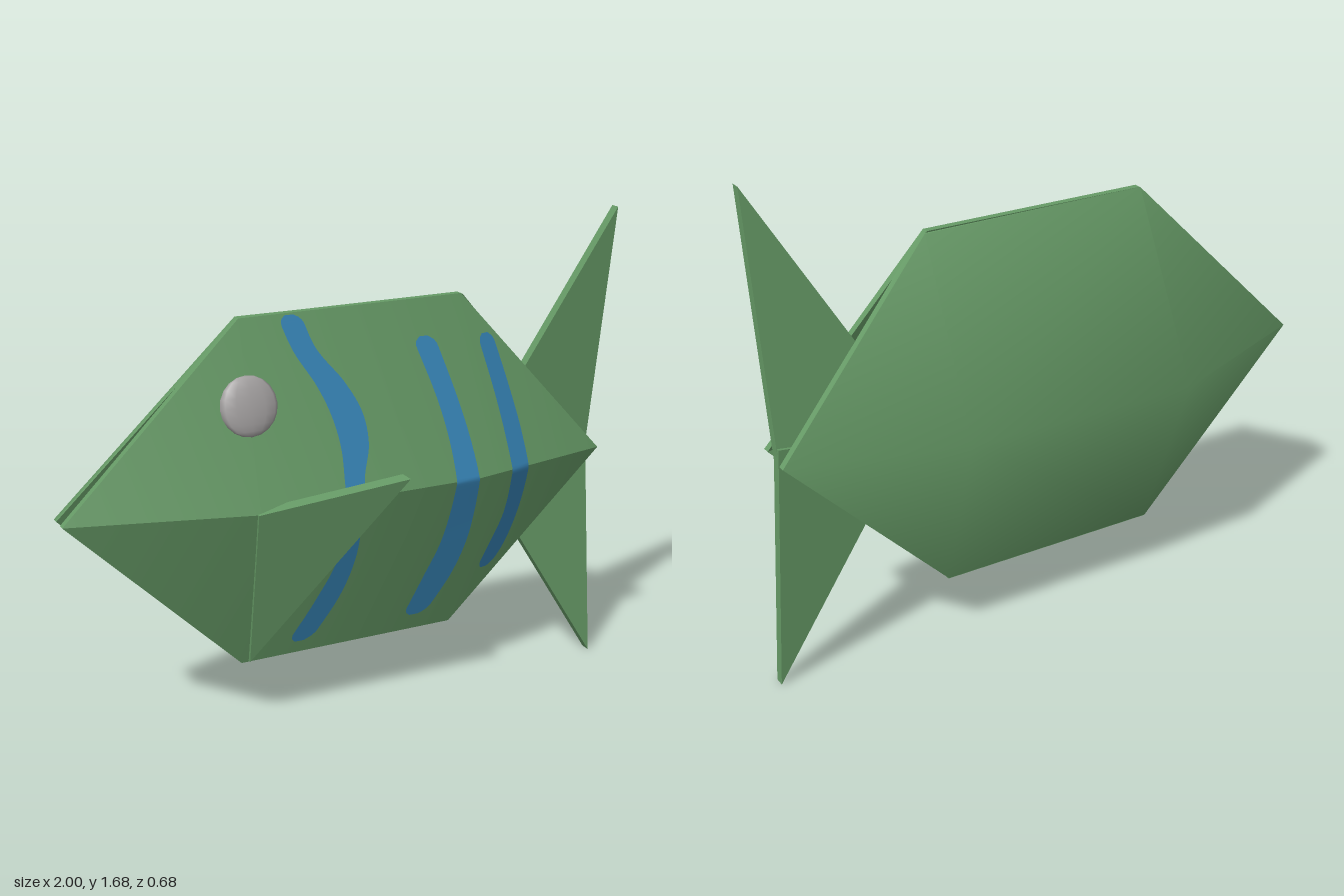
import * as THREE from 'three';
import { toCreasedNormals } from 'three/addons/utils/BufferGeometryUtils.js';

const paper = new THREE.MeshStandardMaterial({ color: 0x669a66, side: THREE.DoubleSide });
paper.name = 'greenPaper';
const blue = new THREE.MeshStandardMaterial({ color: 0x3785b8, side: THREE.DoubleSide });
blue.name = 'blueStripe';
const grey = new THREE.MeshStandardMaterial({ color: 0xa3a0a0 });
grey.name = 'greyEye';

// Folded sheet: corners are the outer side, the inner side lies t behind in z (t < 0: faces back)
function sheet(name, corners, faces, t, crease) {
  const n = corners.length;
  const outer = t < 0 ? faces.map(([a, b, c]) => [a, c, b]) : faces;
  const points = [...corners, ...corners.map(([x, y, z]) => [x, y, z - t])];
  const index = [];
  const edges = outer.flatMap(([a, b, c]) => [[a, b], [b, c], [c, a]]);
  outer.forEach(([a, b, c]) => index.push(a, b, c, a + n, c + n, b + n));
  // close the rim along the open edges
  for (const [a, b] of edges) {
    if (edges.some(([c, d]) => c === b && d === a)) continue;
    index.push(a, a + n, b, b, a + n, b + n);
  }
  const g = new THREE.BufferGeometry();
  g.setAttribute('position', new THREE.Float32BufferAttribute(points.flat(), 3));
  g.setIndex(index);
  const mesh = new THREE.Mesh(toCreasedNormals(g, crease), paper);
  mesh.name = name;
  return mesh;
}

// Corner order of a body half: nose, top x2, tail end, bottom x2, ridge x2
const hexFaces = [[0, 6, 1], [1, 6, 7], [1, 7, 2], [2, 7, 3], [0, 5, 6], [5, 4, 7], [5, 7, 6], [4, 3, 7]];
const front = [
  [-1, 0.83, -0.01], [-0.4, 1.435, 0], [0.4, 1.435, 0], [0.965, 0.82, 0.02],
  [0.4, 0.23, -0.04], [-0.4, 0.23, -0.04], [-0.4, 0.83, 0.155], [0.4, 0.83, 0.155],
];
const back = [
  [-1, 0.83, -0.1], [-0.4, 1.435, -0.03], [0.41, 1.43, -0.03], [0.975, 0.82, -0.14],
  [0.4, 0.235, -0.11], [-0.4, 0.235, -0.11], [-0.4, 0.83, -0.34], [0.42, 0.83, -0.32],
];

// Depth of the front half at (x, y)
function frontZ(x, y) {
  const k = THREE.MathUtils.clamp((x - 0.4) / 0.565, 0, 1);
  const mix = (a, b) => a.map((v, i) => v + (b[i] - v) * k);
  const ridge = mix(front[7], front[3]);
  const rim = mix(front[y > ridge[1] ? 2 : 4], front[3]);
  const t = THREE.MathUtils.clamp((y - ridge[1]) / (rim[1] - ridge[1]), 0, 1);
  return ridge[2] + (rim[2] - ridge[2]) * t;
}

// Painted stripe from rows of [left x, y, right x], top to bottom, with round ends
function stripe(rows) {
  const curve = new THREE.CatmullRomCurve3(rows.map((r) => new THREE.Vector3(...r)));
  const top = rows[0][1], bottom = rows[rows.length - 1][1];
  const points = [], index = [], count = 90;
  for (let i = 0; i <= count; i++) {
    const p = curve.getPoint(i / count);
    const d = Math.min(1, Math.max(0, Math.min(top - p.y, p.y - bottom)) / 0.035);
    const half = (p.z - p.x) / 2 * Math.sqrt(1 - (1 - d) * (1 - d) * 0.85);
    const mid = (p.x + p.z) / 2;
    for (const x of [mid - half, mid + half]) points.push(x, p.y, frontZ(x, p.y) + 0.006);
    const a = i * 2;
    if (i < count) index.push(a, a + 2, a + 1, a + 1, a + 2, a + 3);
  }
  const g = new THREE.BufferGeometry();
  g.setAttribute('position', new THREE.Float32BufferAttribute(points, 3));
  g.setIndex(index);
  g.computeVertexNormals();
  return new THREE.Mesh(g, blue);
}

export function createModel() {
  const fish = new THREE.Group();
  fish.name = 'foldedFish';

  // Two body halves and the fold joining them underneath
  fish.add(sheet('bodyFront', front, hexFaces, 0.025, 0.45));
  fish.add(sheet('bodyBack', back, hexFaces, -0.025, 1));
  const fold = new THREE.Mesh(new THREE.BoxGeometry(0.8, 0.012, 0.065), paper);
  fold.position.set(0, 0.238, -0.075);
  fold.name = 'bottomFold';
  fish.add(fold);

  // Side fin swinging out from the cheek
  fish.add(sheet('sideFin', [[-0.41, 0.832, 0.163], [-0.375, 0.235, -0.025], [0.04, 0.94, 0.335]],
    [[0, 1, 2]], 0.055, 0.5));

  // Tail fins between the halves
  fish.add(sheet('upperTailFin', [[0.997, 1.68, 0.025], [0.5, 0.85, -0.05], [0.97, 0.81, -0.065]],
    [[0, 1, 2]], 0.035, 0.5));
  fish.add(sheet('lowerTailFin', [[0.997, 0, -0.02], [0.97, 0.87, -0.07], [0.5, 0.81, -0.06]],
    [[0, 1, 2]], 0.035, 0.5));

  // Eye
  const eye = new THREE.Mesh(new THREE.SphereGeometry(0.098, 12, 10), grey);
  eye.scale.z = 0.25;
  eye.rotation.x = -0.25;
  eye.position.set(-0.4, 1.168, frontZ(-0.4, 1.168) + 0.004);
  eye.name = 'eye';
  fish.add(eye);

  // Stripes
  const stripes = [
    [[-0.27, 1.43, -0.19], [-0.23, 1.32, -0.15], [-0.16, 1.2, -0.06], [-0.12, 1.1, -0.01], [-0.1, 1, 0],
      [-0.1, 0.88, -0.03], [-0.1, 0.6, -0.03], [-0.155, 0.45, -0.065], [-0.24, 0.28, -0.15]],
    [[0.2, 1.315, 0.28], [0.27, 1.1, 0.345], [0.3, 0.95, 0.38], [0.31, 0.8, 0.4],
      [0.295, 0.6, 0.4], [0.25, 0.45, 0.365], [0.2, 0.295, 0.29]],
    [[0.45, 1.295, 0.515], [0.5, 1.1, 0.57], [0.53, 0.95, 0.605], [0.55, 0.8, 0.625],
      [0.55, 0.65, 0.62], [0.51, 0.52, 0.59], [0.48, 0.435, 0.545]],
  ];
  ['frontStripe', 'middleStripe', 'rearStripe'].forEach((name, i) => {
    const mesh = stripe(stripes[i]);
    mesh.name = name;
    fish.add(mesh);
  });
  return fish;
}
